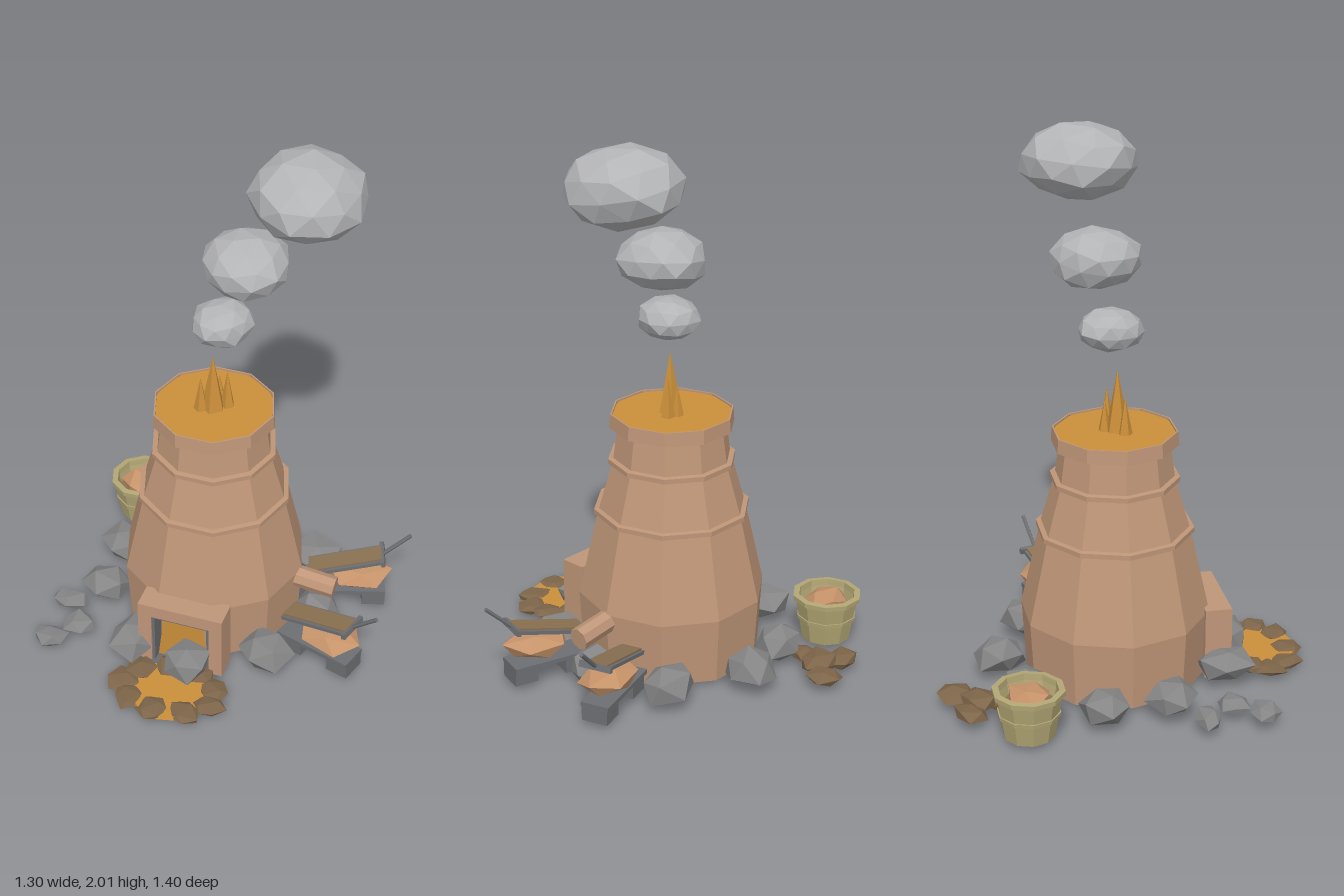
import * as THREE from 'three';

const mat = (name, color, double) => {
  const m = new THREE.MeshStandardMaterial({ color, flatShading: true });
  m.name = name;
  if (double) m.side = THREE.DoubleSide;
  return m;
};

export function createModel() {
  const root = new THREE.Group();
  root.name = 'clayFurnace';
  const clay = mat('clay', 0xbf9678, true);
  const fire = mat('fire', 0xcb8f3a, true);
  const stone = mat('stone', 0x858585);
  const smoke = mat('smoke', 0xb3b4b6);
  const coal = mat('charcoalBrown', 0x7d6549);
  const straw = mat('straw', 0xb3a775, true);
  const ore = mat('leatherOre', 0xc6936a);
  const iron = mat('iron', 0x6e6f72);
  const wood = mat('wood', 0x8c7252);

  const add = (name, geo, m, x = 0, y = 0, z = 0, parent = root) => {
    const mesh = new THREE.Mesh(geo, m);
    mesh.name = name;
    mesh.position.set(x, y, z);
    parent.add(mesh);
    return mesh;
  };

  // Faceted lump: icosahedron with corners pushed in or out by a position rule
  const lump = (rx, ry, rz, seed, detail = 0, rough = 0.18) => {
    const g = new THREE.IcosahedronGeometry(1, detail);
    g.rotateY(seed * 1.7);
    g.rotateX(seed * 0.6);
    const p = g.attributes.position;
    for (let i = 0; i < p.count; i++) {
      const x = p.getX(i), y = p.getY(i), z = p.getZ(i);
      const k = 1 + rough * Math.sin(x * 5.1 + y * 7.3 + z * 6.7 + seed * 2.9);
      p.setXYZ(i, x * rx * k, y * ry * k, z * rz * k);
    }
    g.computeVertexNormals();
    return g;
  };

  // Tower: ten-sided tapering shell, corners on the x axis
  const tower = new THREE.Group();
  tower.name = 'tower';
  tower.position.set(-0.06, 0, -0.02);
  root.add(tower);
  const lathe = pts => new THREE.LatheGeometry(pts.map(p => new THREE.Vector2(...p)), 10, Math.PI / 2);
  add('towerWall', lathe([[0, 0.002], [0.335, 0.002], [0.35, 0.25], [0.277, 0.57], [0.219, 0.77], [0.2, 0.91]]), clay, 0, 0, 0, tower);
  add('towerRim', lathe([[0.19, 0.9], [0.232, 0.9], [0.228, 0.952], [0.222, 0.952], [0.222, 0.93]]), clay, 0, 0, 0, tower);
  for (const [y, r] of [[0.575, 0.283], [0.77, 0.229]]) {
    add('towerBand', lathe([[r - 0.02, y - 0.012], [r + 0.008, y - 0.01], [r + 0.008, y + 0.008], [r - 0.02, y + 0.012]]), clay, 0, 0, 0, tower);
  }
  const disc = new THREE.CircleGeometry(0.218, 28).rotateX(-Math.PI / 2);
  add('fireBed', disc, fire, 0, 0.945, 0, tower);
  for (const [x, z, r, h] of [[0, 0.01, 0.045, 0.23], [-0.04, 0.03, 0.027, 0.14], [0.045, -0.02, 0.027, 0.155], [0.01, -0.035, 0.024, 0.12]]) {
    add('flame', new THREE.ConeGeometry(r, h, 5), fire, x, 0.943 + h / 2, z, tower);
  }

  // Smoke puffs
  add('smokePuff', lump(0.112, 0.078, 0.118, 1, 1, 0.04), smoke, -0.03, 1.315, -0.03);
  add('smokePuff', lump(0.157, 0.108, 0.165, 2, 1, 0.04), smoke, 0.045, 1.557, -0.065);
  add('smokePuff', lump(0.206, 0.14, 0.216, 3, 1, 0.04), smoke, 0.255, 1.86, -0.09);

  // Doorway: clay surround, iron lining and glowing mouth
  const arch = (w, h, t, depth) => {
    const s = new THREE.Shape([[-w, 0], [-w, h], [w, h], [w, 0], [w - t, 0], [w - t, h - t], [t - w, h - t], [t - w, 0]]
      .map(p => new THREE.Vector2(...p)));
    return new THREE.ExtrudeGeometry(s, { depth, bevelEnabled: false });
  };
  add('doorSurround', arch(0.165, 0.272, 0.052, 0.1), clay, -0.057, 0.002, 0.287);
  add('doorLining', arch(0.113, 0.22, 0.011, 0.07), iron, -0.057, 0.002, 0.31);
  const mouth = new THREE.Shape([[-0.1, 0], [-0.075, 0.207], [0.075, 0.207], [0.1, 0]].map(p => new THREE.Vector2(...p)));
  add('doorFire', new THREE.ShapeGeometry(mouth), fire, -0.057, 0.004, 0.35);

  // Ring of boulders, then three loose stones
  [[-0.26, -0.39, 0.1, 0.09], [-0.02, -0.44, 0.092, 0.1], [0.26, -0.3, 0.115, 0.095], [-0.47, -0.13, 0.1, 0.095],
    [-0.46, 0.11, 0.105, 0.09], [-0.25, 0.36, 0.1, 0.105], [0.245, 0.265, 0.1, 0.095], [-0.02, 0.42, 0.095, 0.08],
    [0.36, -0.015, 0.1, 0.085]].forEach(([x, z, rx, rz], i) =>
    add('boulder', lump(rx, 0.072, rz, i + 1), stone, x, 0.07, z));
  [[-0.575, 0.22, 0.08, 0.05], [-0.5, 0.325, 0.068, 0.062], [-0.57, 0.425, 0.072, 0.055]].forEach(([x, z, rx, rz], i) =>
    add('looseStone', lump(rx, 0.032, rz, i + 12), stone, x, 0.035, z));

  // Ember bed spilling from the mouth
  add('emberBed', new THREE.CylinderGeometry(0.145, 0.15, 0.012, 14), fire, -0.05, 0.018, 0.53);
  for (let i = 0; i < 9; i++) {
    const a = i * Math.PI * 2 / 9 + 0.3;
    add('emberCoal', lump(0.066, 0.018, 0.066, i + 20), coal, -0.05 + Math.cos(a) * 0.175, 0.018, 0.525 + Math.sin(a) * 0.115);
  }

  // Charcoal heap
  [[-0.36, -0.6, 0.068, 0.028], [-0.215, -0.635, 0.068, 0.028], [-0.28, -0.56, 0.08, 0.035], [-0.3, -0.475, 0.058, 0.028]].forEach(([x, z, r, h], i) =>
    add('charcoal', lump(r, h, r * 0.95, i + 31), coal, x, h, z));

  // Basket filled with ore
  const basket = new THREE.Group();
  basket.name = 'basket';
  basket.position.set(-0.505, 0, -0.412);
  root.add(basket);
  add('basketWall', lathe([[0, 0.005], [0.092, 0.005], [0.12, 0.165], [0.108, 0.165], [0.095, 0.1]]), straw, 0, 0, 0, basket);
  add('basketRim', lathe([[0.106, 0.162], [0.13, 0.165], [0.131, 0.183], [0.108, 0.185], [0.106, 0.162]]), straw, 0, 0, 0, basket);
  add('basketBand', lathe([[0.098, 0.085], [0.112, 0.085], [0.114, 0.1], [0.1, 0.1]]), straw, 0, 0, 0, basket);
  add('basketFill', new THREE.CircleGeometry(0.104, 10).rotateX(-Math.PI / 2), wood, 0, 0.125, 0, basket);
  add('basketOre', lump(0.09, 0.052, 0.085, 41, 0, 0.1), ore, 0, 0.148, 0, basket);

  // Clay blast pipe
  const pipe = add('blastPipe', new THREE.CylinderGeometry(0.042, 0.042, 0.19, 8), clay, 0.33, 0.212, -0.01);
  pipe.rotation.z = Math.PI / 2 - 0.12;

  // Pair of bellows fanned out from the pipe
  for (const s of [1, -1]) {
    const b = new THREE.Group();
    b.name = s > 0 ? 'frontBellows' : 'backBellows';
    b.position.set(0.27, 0, -0.012 + s * 0.125);
    b.rotation.y = -s * 0.3;
    root.add(b);
    add('lowerBoard', new THREE.BoxGeometry(0.31, 0.016, 0.11), iron, 0.155, 0.07, 0, b);
    for (const x of [0.06, 0.265]) add('foot', new THREE.BoxGeometry(0.09, 0.055, 0.1), iron, x, 0.034, 0, b);
    add('leatherBag', lump(0.135, 0.05, 0.1, 50, 0, 0.08), ore, 0.2, 0.138, 0, b);
    const top = new THREE.Group();
    top.name = 'upperBoard';
    top.position.set(0.155, 0.187, 0);
    top.rotation.z = 0.24;
    b.add(top);
    add('boardFrame', new THREE.BoxGeometry(0.29, 0.014, 0.1), iron, 0, 0, 0, top);
    add('boardPlank', new THREE.BoxGeometry(0.285, 0.009, 0.078), wood, 0, 0.009, 0, top);
    add('boardEnd', new THREE.BoxGeometry(0.016, 0.022, 0.125), iron, 0.145, 0.002, 0, top);
    const rod = add('handle', new THREE.CylinderGeometry(0.008, 0.008, 0.16, 6), iron, 0.34, 0.267, 0, b);
    rod.rotation.z = -0.82;
  }
  return root;
}
